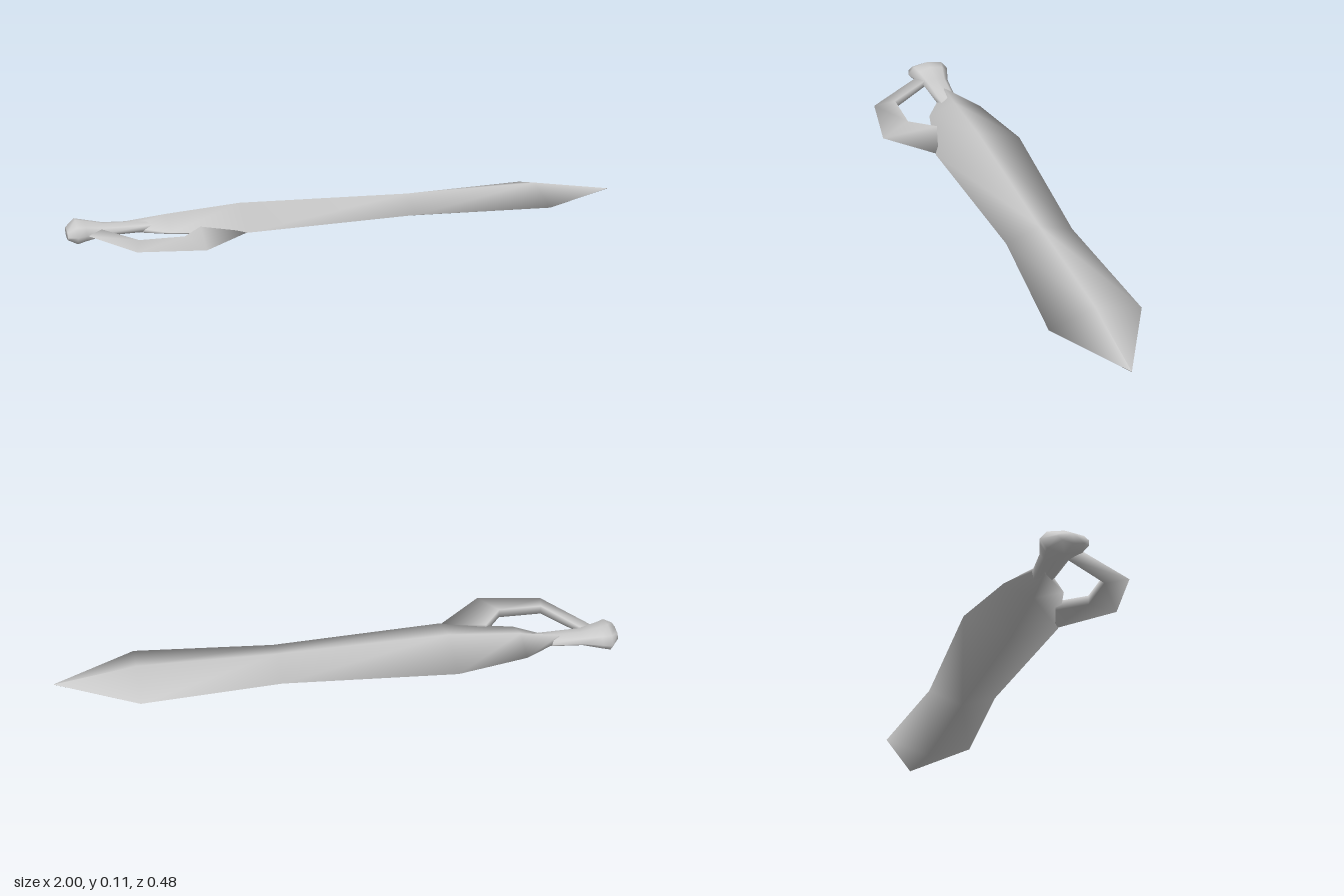
import * as THREE from 'three';

const MID_Y = 0.06;

// Lofts a profile along sections [innerX, innerZ, outerX, outerZ, halfHeight].
// Profile points are [u, v]: u runs from inner (0) to outer (1) edge, v is height.
function loft(profile, sections) {
  const n = profile.length, pos = [], index = [];
  for (const [ax, az, bx, bz, h] of sections) {
    for (const [u, v] of profile) {
      pos.push(ax + (bx - ax) * u, MID_Y + v * h, az + (bz - az) * u);
    }
  }
  const last = (sections.length - 1) * n;
  for (let r = 0; r < last; r += n) {
    for (let i = 0; i < n; i++) {
      const j = (i + 1) % n;
      index.push(r + i, r + j, r + n + i, r + j, r + n + j, r + n + i);
    }
  }
  // end caps
  for (let i = 1; i < n - 1; i++) {
    index.push(0, i + 1, i, last, last + i, last + i + 1);
  }
  const g = new THREE.BufferGeometry();
  g.setAttribute('position', new THREE.Float32BufferAttribute(pos, 3));
  g.setIndex(index);
  g.computeVertexNormals();
  return g;
}

// Upright section at x between two z values
const slice = (x, z0, z1, h) => [x, z0, x, z1, h];

export function createModel() {
  const group = new THREE.Group();
  group.name = 'sword';
  const steel = new THREE.MeshStandardMaterial({ color: 0xcccccc });
  steel.name = 'steel';

  const add = (name, geometry) => {
    const mesh = new THREE.Mesh(geometry, steel);
    mesh.name = name;
    group.add(mesh);
  };

  const diamond = [[0.5, 1], [1, 0], [0.5, -1], [0, 0]];
  const wedge = [[0, 1], [1, 0], [0, -1]];
  const oval = Array.from({ length: 8 }, (_, i) => {
    const a = (i / 8) * Math.PI * 2;
    return [0.5 + 0.5 * Math.sin(a), Math.cos(a)];
  });

  // Broad blade, waisted in the middle and pointed at the end
  add('blade', loft(diamond, [
    slice(-0.79, -0.095, -0.075, 0.02),
    slice(-0.65, -0.18, 0.025, 0.037),
    slice(-0.39, -0.24, 0.09, 0.057),
    slice(0.22, -0.198, 0.048, 0.042),
    slice(0.71, -0.24, 0.09, 0.045),
    slice(0.995, -0.076, -0.074, 0.001),
  ]));

  // Grip swelling into a rounded pommel
  add('gripAndPommel', loft(oval, [
    slice(-1.0, -0.11, -0.01, 0.018),
    slice(-0.967, -0.158, 0.002, 0.041),
    slice(-0.935, -0.148, -0.012, 0.034),
    slice(-0.87, -0.128, -0.028, 0.019),
    slice(-0.70, -0.11, -0.035, 0.016),
  ]));

  // Bent hand guard from the pommel to the blade's front edge
  add('handGuard', loft(wedge, [
    [-0.89, -0.05, -0.93, -0.01, 0.012],
    [-0.775, 0.12, -0.795, 0.198, 0.016],
    [-0.62, 0.12, -0.565, 0.237, 0.016],
    [-0.55, 0.03, -0.39, 0.08, 0.016],
  ]));

  return group;
}
